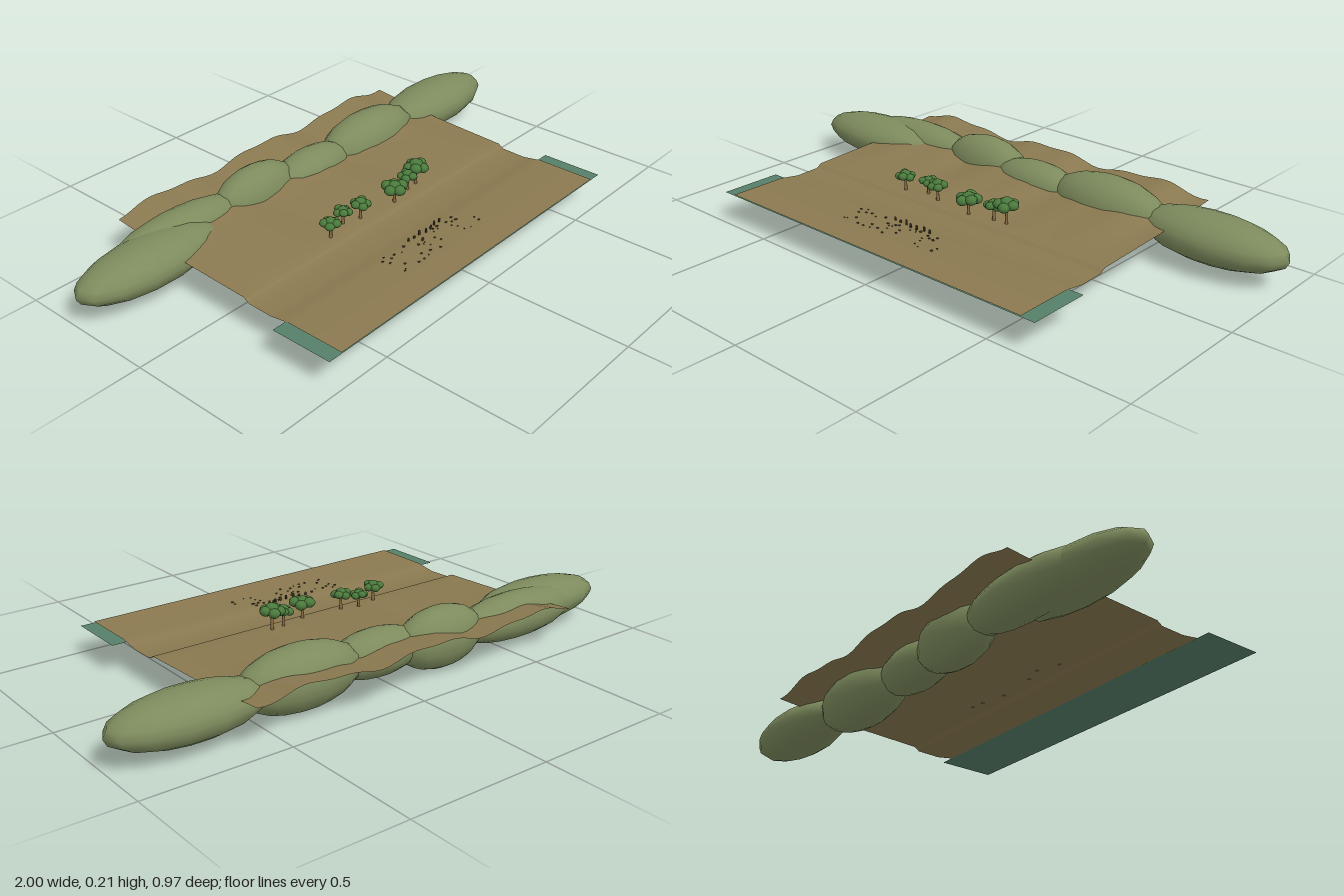
import * as THREE from 'three';
import { mergeGeometries } from 'three/addons/utils/BufferGeometryUtils.js';

const paint = (name, color, side = THREE.FrontSide) => {
  const m = new THREE.MeshStandardMaterial({ color, side });
  m.name = name;
  return m;
};

function seeded(seed) {
  return () => (seed = (seed * 16807) % 2147483647) / 2147483647;
}

// Height of the land: flat bank, shallow dip, step, then rolling slope to the back
const profile = [[0.48, 0.107], [0.275, 0.107], [0.2, 0.095], [0.11, 0.097], [0.09, 0.11], [-0.2, 0.127], [-0.485, 0.159]];
function landHeight(x, z) {
  let y = profile[0][1];
  for (let i = 0; i < profile.length - 1; i++) {
    const [z0, y0] = profile[i], [z1, y1] = profile[i + 1];
    if (z <= z0 && z >= z1) y = y0 + (y1 - y0) * (z0 - z) / (z0 - z1);
  }
  const roll = 0.017 * Math.max(0, (0.09 - z) / 0.575);
  return y + roll * (0.7 * Math.cos(14 * (x + 0.5)) + 0.3 * Math.sin(31 * x));
}

function landGeometry() {
  const rows = [0.48, 0.38, 0.275, 0.25, 0.225, 0.2, 0.155, 0.11, 0.1, 0.09, 0.04, -0.02, -0.08, -0.14, -0.2, -0.26, -0.32, -0.38, -0.43, -0.485];
  const cols = 48;
  const geo = new THREE.PlaneGeometry(1.28, 1, cols, rows.length - 1).rotateX(-Math.PI / 2);
  const p = geo.attributes.position;
  for (let i = 0; i < p.count; i++) {
    const x = p.getX(i) - 0.03;
    const z = rows[rows.length - 1 - Math.floor(i / (cols + 1))];
    p.setXYZ(i, x, landHeight(x, z), z);
  }
  geo.computeVertexNormals();
  return geo;
}

export function createModel() {
  const root = new THREE.Group();
  root.name = 'riversideLandscape';
  const soil = paint('dry soil', 0x8a7950, THREE.DoubleSide);
  const water = paint('river green', 0x567f68, THREE.DoubleSide);
  const hillGreen = paint('hill green', 0x7d8b5d);
  const leaf = paint('leaf green', 0x4a7a3c);
  const bark = paint('bark', 0x8a6c45);
  const stone = paint('dark stone', 0x4a4030);
  const add = (parent, name, geo, mat, x = 0, y = 0, z = 0) => {
    const m = new THREE.Mesh(geo, mat);
    m.name = name;
    m.position.set(x, y, z);
    parent.add(m);
    return m;
  };

  add(root, 'land', landGeometry(), soil);
  add(root, 'river', new THREE.PlaneGeometry(1.38, 0.22).rotateX(-Math.PI / 2), water, -0.03, 0.103, 0.37);

  // Hills: centre x, centre z, then radii
  const ball = new THREE.SphereGeometry(1, 14, 10);
  const hills = [
    [-0.72, -0.275, 0.28, 0.074, 0.11],
    [-0.56, -0.33, 0.28, 0.08, 0.085],
    [-0.22, -0.325, 0.18, 0.106, 0.085],
    [0.03, -0.3, 0.18, 0.08, 0.083],
    [0.335, -0.308, 0.23, 0.106, 0.102],
    [0.73, -0.32, 0.27, 0.08, 0.113],
  ];
  for (const [x, z, rx, ry, rz] of hills) {
    add(root, 'hill', ball, hillGreen, x, 0.106, z).scale.set(rx, ry, rz);
  }

  // Trees: x, z, overall height, crown radius
  const trees = [
    [-0.26, 0.06, 0.075, 0.036],
    [-0.175, 0.035, 0.065, 0.033],
    [-0.112, 0.055, 0.078, 0.036],
    [0.042, 0.07, 0.08, 0.046],
    [0.135, 0.05, 0.076, 0.036],
    [0.185, 0.045, 0.095, 0.045],
  ];
  trees.forEach(([x, z, h, r], n) => {
    const tree = new THREE.Group();
    tree.name = 'tree';
    tree.position.set(x, landHeight(x, z) - 0.002, z);
    root.add(tree);
    add(tree, 'trunk', new THREE.CylinderGeometry(0.004, 0.006, h * 0.65, 7), bark, 0, h * 0.325, 0);
    const blobs = [];
    for (let i = 0; i < 6; i++) {
      const a = i * Math.PI * 0.4 + n;
      const d = i < 5 ? r * 0.56 : 0;
      const s = i < 5 ? r * 0.46 : r * 0.56;
      const lift = i < 5 ? h * 0.7 + (i % 2) * 0.005 : h - s * 0.8;
      blobs.push(new THREE.SphereGeometry(s, 9, 7).scale(1, 0.8, 1).translate(Math.cos(a) * d, lift, Math.sin(a) * d));
    }
    add(tree, 'crown', mergeGeometries(blobs), leaf);
  });

  // Pebbles scattered on the bank, with a few short stakes along its inner edge
  const rand = seeded(37);
  const pebbles = [];
  for (let i = 0; i < 40; i++) {
    const s = 0.002 + rand() * 0.003;
    pebbles.push(new THREE.IcosahedronGeometry(s, 0).scale(1.2, 0.7, 1)
      .translate(-0.31 + rand() * 0.46, 0.108, 0.26 + rand() * 0.1));
  }
  add(root, 'pebbles', mergeGeometries(pebbles), stone);
  const stakes = [];
  for (let i = 0; i < 7; i++) {
    const h = 0.008 + rand() * 0.009;
    stakes.push(new THREE.BoxGeometry(0.006, h, 0.004).translate(-0.11 + i * 0.026, 0.106 + h / 2, 0.255 + rand() * 0.012));
  }
  add(root, 'stakes', mergeGeometries(stakes), stone);
  return root;
}
